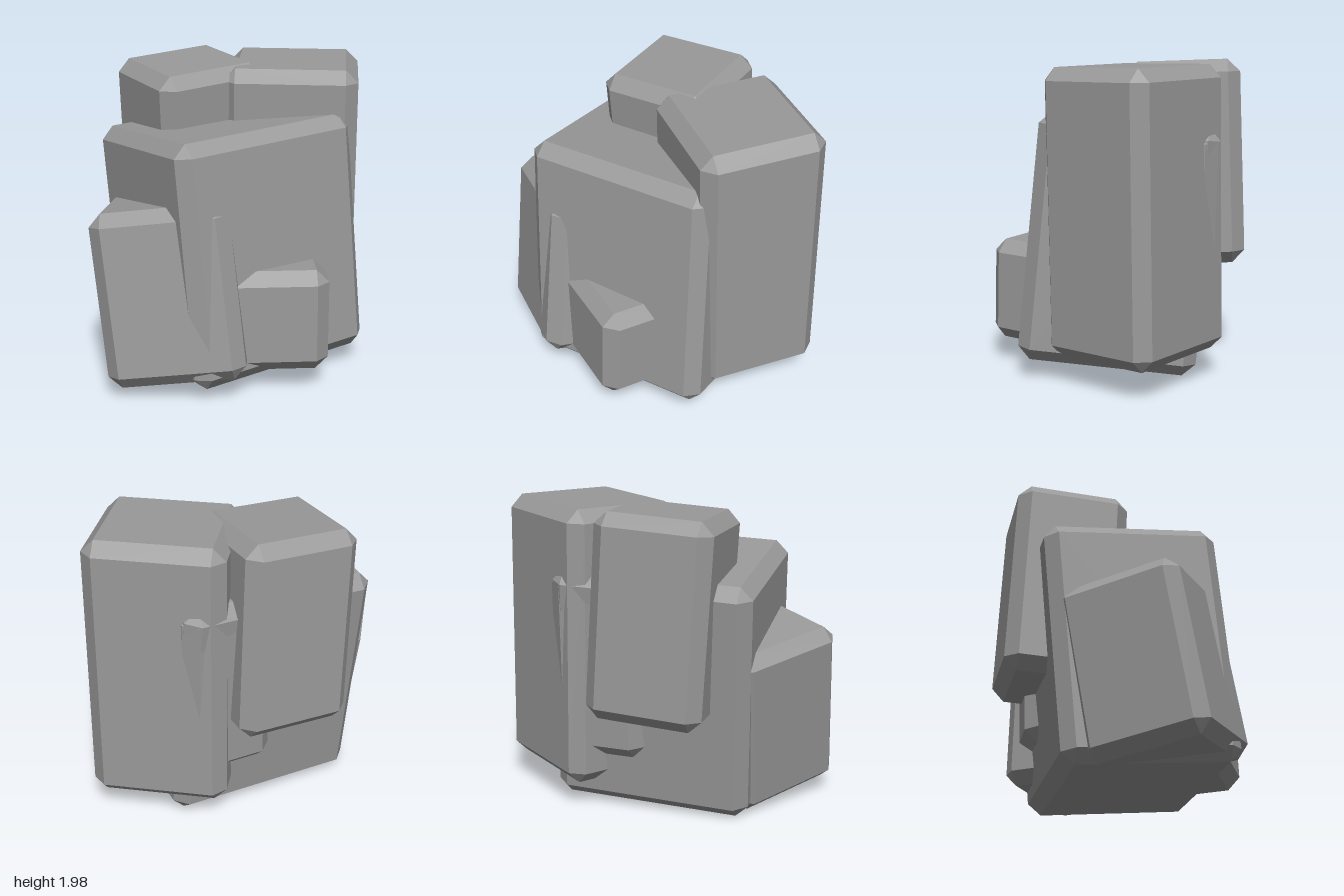
import * as THREE from 'three';
import { ConvexGeometry } from 'three/addons/geometries/ConvexGeometry.js';

const BEVEL = 0.08;

// Box with flat chamfered edges and triangular corners.
function chamferedBox(w, h, d, b = BEVEL) {
  const points = [];
  for (const sx of [-1, 1]) for (const sy of [-1, 1]) for (const sz of [-1, 1]) {
    const x = w / 2, y = h / 2, z = d / 2;
    points.push(
      new THREE.Vector3(sx * x, sy * (y - b), sz * (z - b)),
      new THREE.Vector3(sx * (x - b), sy * y, sz * (z - b)),
      new THREE.Vector3(sx * (x - b), sy * (y - b), sz * z),
    );
  }
  return new ConvexGeometry(points);
}

export function createModel() {
  const group = new THREE.Group();
  group.name = 'rockCluster';
  const stone = new THREE.MeshStandardMaterial({ color: 0x999999 });
  stone.name = 'stoneGrey';

  // A block placed by its centre, its sideways direction and its leaning up direction.
  function block(name, size, center, right, up) {
    const mesh = new THREE.Mesh(chamferedBox(...size), stone);
    const x = new THREE.Vector3(...right).normalize();
    const z = new THREE.Vector3().crossVectors(x, new THREE.Vector3(...up)).normalize();
    const y = new THREE.Vector3().crossVectors(z, x);
    mesh.quaternion.setFromRotationMatrix(new THREE.Matrix4().makeBasis(x, y, z));
    mesh.position.set(...center);
    mesh.name = name;
    group.add(mesh);
  }

  // Wide central rock that the others lean on
  block('centralRock', [1.286, 1.56, 1.114], [0.002, 0.845, 0.013], [1.07, 0.035, -0.35], [-0.061, 0.994, -0.086]);
  // Tall upright rock on the left
  block('tallRock', [0.866, 1.78, 0.80], [0.477, 1.07, -0.25], [0.945, 0, 0.33], [0, 1, 0.02]);
  // High rock at the back
  block('backRock', [0.75, 1.295, 0.725], [-0.185, 1.317, -0.367], [0.565, 0.03, -0.175], [-0.038, 1, 0.05]);
  // Leaning rock at the front right
  block('leaningRock', [0.87, 1.117, 0.80], [-0.444, 0.638, 0.256], [0.67, 0.085, 0.22], [-0.07, 1, -0.165]);
  // Small rock at the foot
  block('smallFrontRock', [0.70, 0.66, 0.60], [0.147, 0.48, 0.42], [0.98, 0, 0.19], [0.02, 1, -0.03]);
  // Buried rock whose corner pokes out behind the tall rock
  block('buriedRock', [0.60, 1.20, 0.60], [0.218, 0.98, -0.378], [0.96, 0, -0.28], [0.01, 1, -0.03]);

  return group;
}
